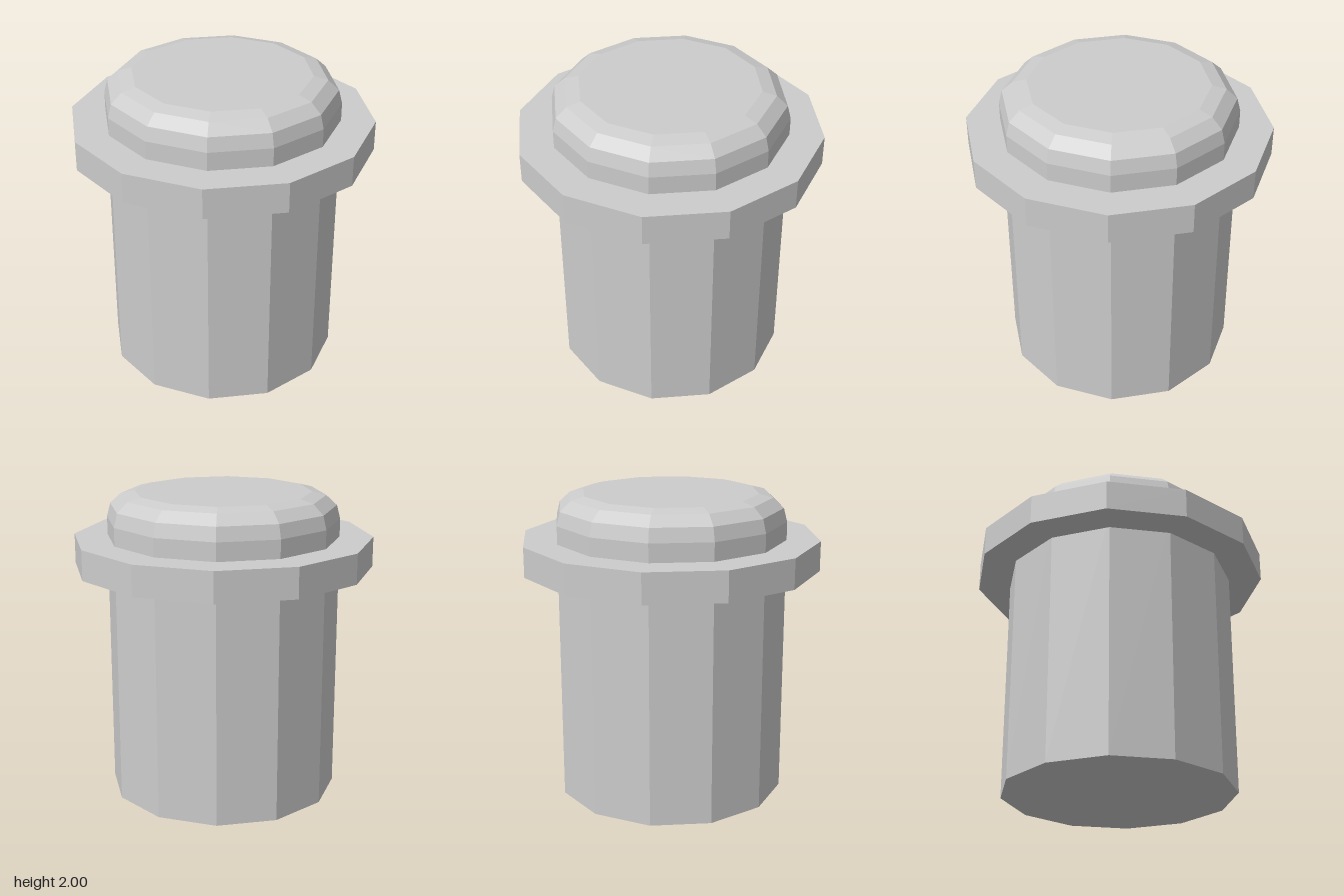
import * as THREE from 'three';

const SIDES = 12;

export function createModel() {
  const group = new THREE.Group();
  group.name = 'flangedPlug';
  const grey = new THREE.MeshStandardMaterial({ color: 0xcccccc, flatShading: true });
  grey.name = 'light grey';

  const add = (name, geometry, y = 0) => {
    const mesh = new THREE.Mesh(geometry, grey);
    mesh.name = name;
    mesh.position.y = y;
    group.add(mesh);
  };

  // Straight twelve-sided barrel, closed at the bottom
  add('barrel', new THREE.CylinderGeometry(0.755, 0.755, 1.6, SIDES), 0.8);

  // Wide flat collar
  add('collar', new THREE.CylinderGeometry(0.973, 0.973, 0.195, SIDES), 1.61);

  // Head above the collar with a rounded rim and flat top
  const profile = [
    [0.755, 1.6], [0.755, 1.825], [0.732, 1.913], [0.662, 1.977], [0.573, 2], [0, 2],
  ].map(([r, y]) => new THREE.Vector2(r, y));
  add('roundedHead', new THREE.LatheGeometry(profile, SIDES));

  return group;
}
